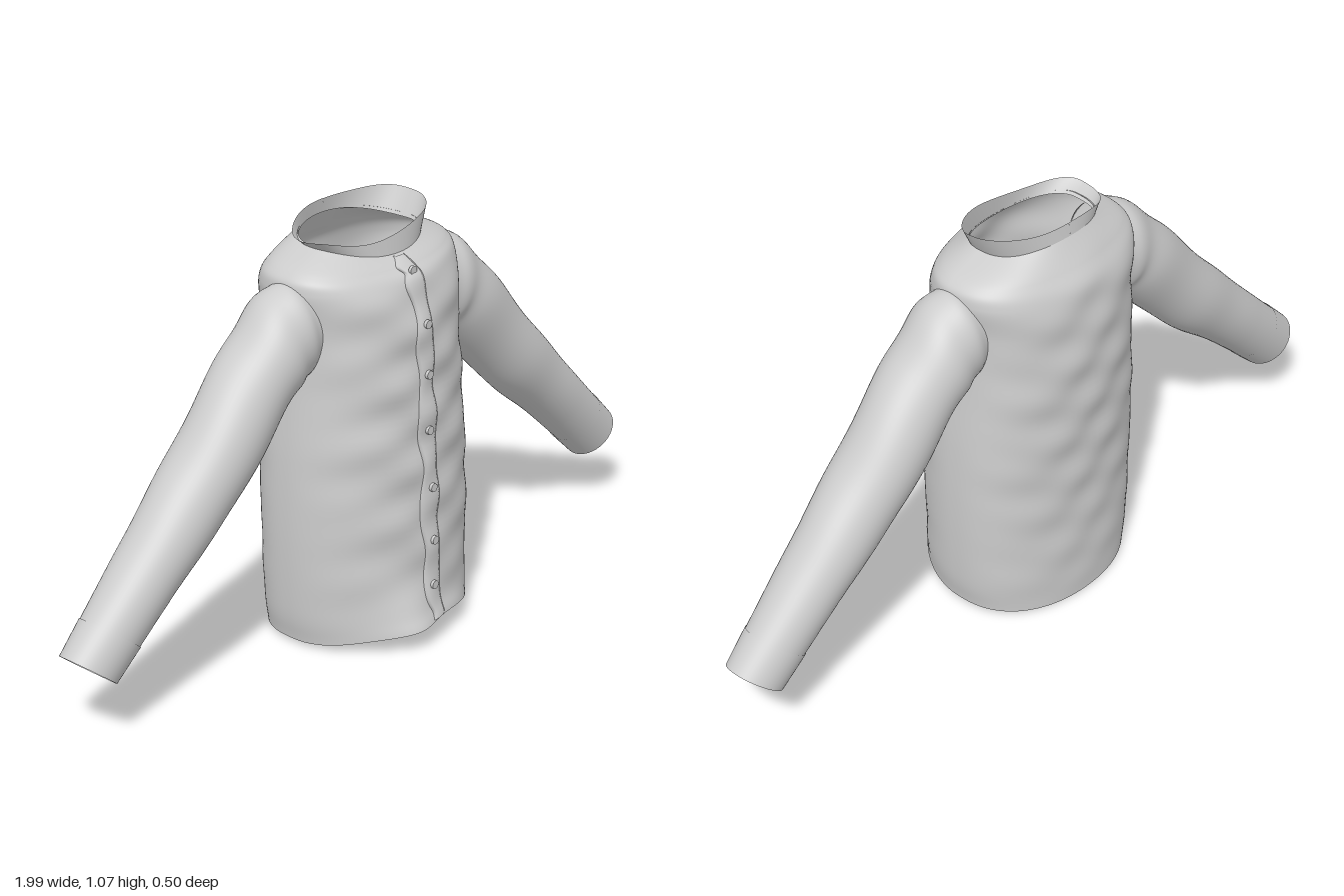
import * as THREE from 'three';
import { ParametricGeometry } from 'three/addons/geometries/ParametricGeometry.js';

const cloth = new THREE.MeshStandardMaterial({ color: 0xcccccc, side: THREE.DoubleSide });
cloth.name = 'grey cloth';

const curve = (rows) => new THREE.CatmullRomCurve3(rows.map((r) => new THREE.Vector3(...r)), false, 'catmullrom', 0.5);
const bump = (d, w) => Math.exp(-(d * d) / (w * w));

function sheet(name, fn, nu, nv) {
  const mesh = new THREE.Mesh(new ParametricGeometry(fn, nu, nv), cloth);
  mesh.name = name;
  return mesh;
}

// Body rings, hem to neck: [half width, front z, back z] and [front y, side y, back y]
const bodySize = curve([
  [0.258, 0.222, -0.235], [0.272, 0.206, -0.236], [0.28, 0.201, -0.236],
  [0.277, 0.192, -0.242], [0.263, 0.182, -0.248], [0.262, 0.172, -0.244],
  [0.275, 0.145, -0.234], [0.255, 0.115, -0.205], [0.165, 0.08, -0.165],
]);
const bodyHeight = curve([
  [0.065, 0.01, 0], [0.13, 0.1, 0.1], [0.3, 0.3, 0.3], [0.5, 0.5, 0.5], [0.7, 0.7, 0.7],
  [0.84, 0.84, 0.84], [0.93, 0.93, 0.925], [0.962, 0.972, 0.977], [0.985, 1.015, 1.035],
]);

// Point on an oval ring whose front and back differ in depth and height
function ringPoint(size, height, u, target) {
  const th = (u * 2 - 1) * Math.PI;
  const s = Math.sin(th), c = Math.cos(th);
  const mid = -0.03;
  const x = size.x * Math.sign(s) * Math.pow(Math.abs(s), 0.94);
  const z = c > 0 ? mid + (size.y - mid) * c : mid + (size.z - mid) * Math.pow(-c, 0.8);
  const y = height.y + ((c > 0 ? height.x : height.z) - height.y) * c * c;
  return target.set(x, y, z);
}

function bodyPoint(u, v, p) {
  ringPoint(bodySize.getPoint(v), bodyHeight.getPoint(v), u, p);
  // soft folds, fading out at hem and neck, stronger in front
  const c = Math.cos((u * 2 - 1) * Math.PI);
  const fade = Math.sin(Math.PI * v);
  const fold = Math.sin(p.y * 34 + p.x * 12 + 2 * Math.sin(p.x * 9)) + 0.6 * Math.sin(p.y * 55 - p.x * 17);
  p.z += fold * fade * (c > 0 ? 0.0045 : 0.003) * c;
  // flared front hem on the wearer's right
  if (c > 0) p.z += 0.04 * c * bump(p.x + 0.1, 0.08) * bump(p.y - 0.04, 0.1);
  return p;
}

// Button band laid over the front of the body
function placketPoint(u, v, p) {
  const vv = 0.01 + 0.97 * v;
  const edge = 0.005 * Math.sin(v * 40);
  const x = -0.034 + 0.05 * u + edge * (1 - u);
  bodyPoint(0.5 + Math.asin(x / 0.27) / (2 * Math.PI), vv, p);
  p.z += 0.006 * Math.pow(Math.sin(Math.PI * Math.min(Math.max(u, 0), 1)), 0.5);
  return p;
}

// Collar band flaring upward from the neck
function collarPoint(u, v, p) {
  const size = new THREE.Vector3(0.163 + 0.032 * v, 0.082 - 0.006 * v, -0.165 + 0.006 * v);
  const height = new THREE.Vector3(0.98 + 0.052 * v, 1.005 + 0.045 * v, 1.03 + 0.038 * v);
  ringPoint(size, height, u, p);
  p.y += v * (p.x * 0.09 + 0.004 * Math.sin(u * 25));
  return p;
}

// Sleeve upper and lower seams: [x, y, half depth]
const sleeveTop = curve([
  [0.25, 0.95, 0.092], [0.315, 0.935, 0.104], [0.44, 0.82, 0.104],
  [0.636, 0.605, 0.1], [0.82, 0.415, 0.085], [0.995, 0.24, 0.068],
]);
const sleeveLow = curve([
  [0.22, 0.72, 0], [0.262, 0.7, 0], [0.31, 0.665, 0],
  [0.49, 0.475, 0], [0.69, 0.31, 0], [0.877, 0.142, 0],
]);

function sleevePoint(side, u, v, grow, p) {
  const a = sleeveTop.getPoint(v), b = sleeveLow.getPoint(v);
  const th = u * 2 * Math.PI;
  const fold = Math.sin(v * 30 + 2 * Math.sin(th)) * 0.025 * Math.sin(Math.PI * Math.min(1, v * 1.2));
  const c = Math.cos(th) * (0.5 + grow + fold * 0.5);
  const s = Math.sin(th) * (1 + 2 * grow + fold);
  return p.set(
    side * ((a.x + b.x) / 2 + (a.x - b.x) * c),
    (a.y + b.y) / 2 + (a.y - b.y) * c,
    -0.037 + side * a.z * s
  );
}

export function createModel() {
  const shirt = new THREE.Group();
  shirt.name = 'shirt';

  shirt.add(sheet('body', bodyPoint, 96, 96));
  shirt.add(sheet('placket', placketPoint, 6, 90));
  shirt.add(sheet('collar', collarPoint, 72, 8));

  for (const side of [1, -1]) {
    const label = side > 0 ? 'left' : 'right';
    shirt.add(sheet(label + 'Sleeve', (u, v, p) => sleevePoint(side, u, v, 0, p), 48, 60));
    shirt.add(sheet(label + 'Cuff', (u, v, p) => sleevePoint(side, u, 0.92 + 0.08 * v, 0.012, p), 48, 4));
  }

  // Buttons down the band
  const buttonShape = new THREE.CylinderGeometry(0.011, 0.011, 0.008, 16).rotateX(Math.PI / 2);
  const spot = new THREE.Vector3();
  for (const y of [0.15, 0.27, 0.41, 0.56, 0.7, 0.83, 0.955]) {
    let v = 0;
    while (v < 1 && placketPoint(0.5, v, spot).y < y) v += 0.002;
    const button = new THREE.Mesh(buttonShape, cloth);
    button.name = 'button';
    button.position.copy(spot);
    button.position.z += 0.004;
    shirt.add(button);
  }
  return shirt;
}
